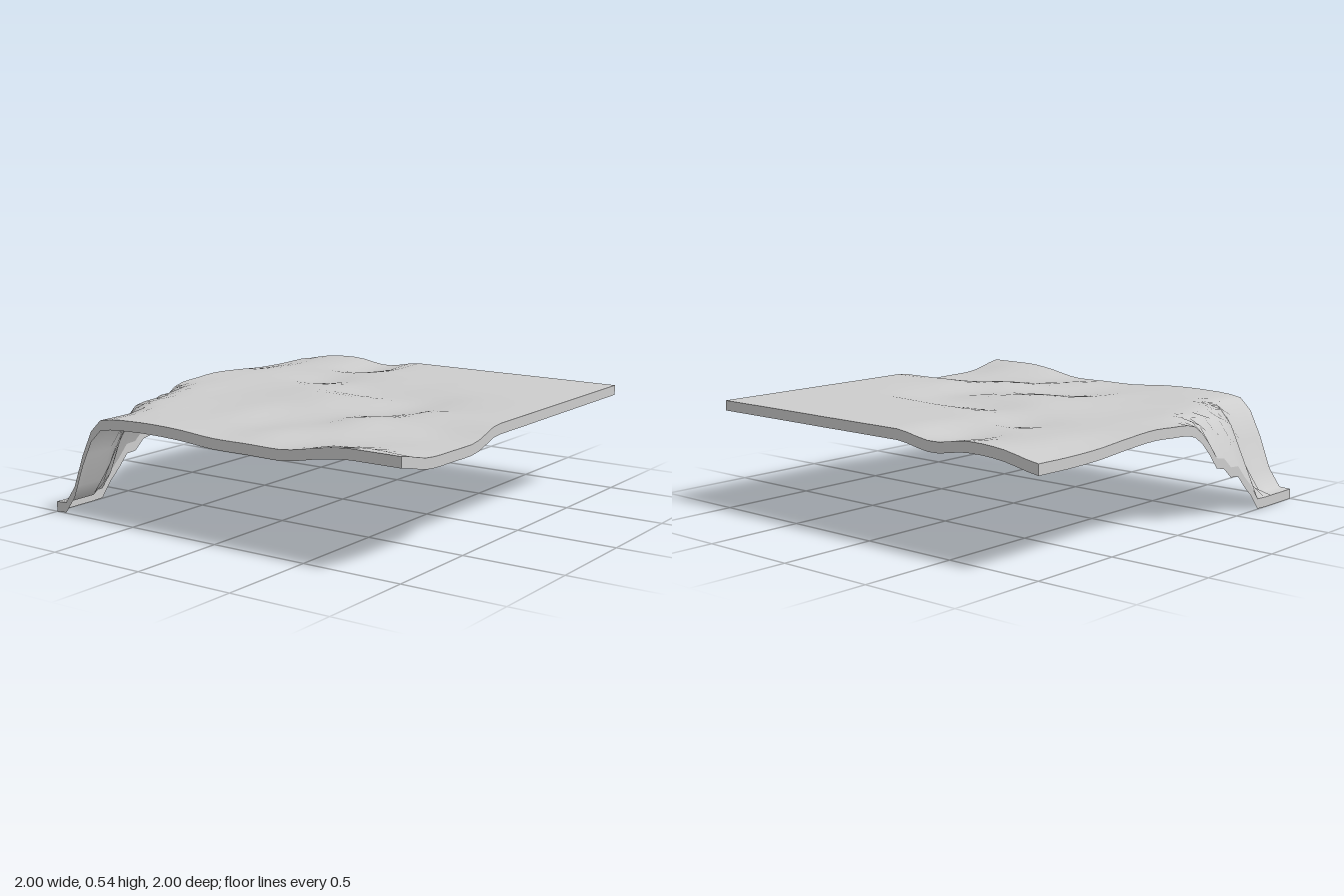
import * as THREE from 'three';

const SEG = 32, THICK = 0.05, CREST = 0.54, SHOULDER = 0.505;

// Depth below the plateau in hundredths, every 0.2 units: rows run back to front, columns along x
const DIPS = [
  [4.8, 1.2, 0.4, 3, 0, -0.5, 0, 0, 0, 0, 0],
  [5, 2, 2, 4.5, 0.5, -0.5, 0, 0, 0, 0, 0],
  [4.5, 2, 2, 2, 0, -0.3, 0, 0, 0, 0, 0],
  [3, 2, 2.5, 4, 1.5, 0.5, 0.5, 0, 0, 0, 0],
  [2, 1.8, 2, 2, 1.5, 3, 3, 2.5, 0.5, 0, 0],
  [3, 2.2, 2.5, 2, 0.5, 0.5, 1.5, 3, 1, 0, 0],
  [3, 2.5, 3, 2.5, 1.5, 1, 2.5, 3, 0, -0.5, -0.5],
  [3, 3, 3, 3, 2.5, 4, 4, 1, 2.5, 4.5, 4.8],
  [3.5, 3, 3, 3.5, 3.5, 5, 4, 3.5, 5, 5, 5],
  [3.5, 3.5, 3.5, 3.5, 4, 4.5, 3.5, 5, 4, 3, 4.3],
  [3.5, 3.5, 3.5, 3, 3.5, 5, 5, 5, 1.5, -0.5, 0],
];

// Cliff height across x, and how far the cliff slides outward toward the back
const CLIFF = [[-0.94, 0.05], [-0.875, 0.14], [-0.81, 0.31], [-0.75, 0.43], [-0.69, 0.49], [-0.6, SHOULDER]];
const SLIDE = [[0, 0.45], [0.13, 0.3], [0.31, 0.19], [0.38, 0.185], [0.44, 0.165], [0.5, 0.165], [0.63, 0.115], [0.69, 0.06], [0.8, 0]];

function lookup(table, t) {
  if (t <= table[0][0]) return table[0][1];
  for (let i = 1; i < table.length; i++) {
    const [t0, v0] = table[i - 1], [t1, v1] = table[i];
    if (t <= t1) return v0 + (v1 - v0) * (t - t0) / (t1 - t0);
  }
  return table[table.length - 1][1];
}

// Smooth curve through evenly spaced values
function spline(values, t) {
  const n = values.length - 1;
  const i = Math.min(Math.floor(t), n - 1), f = t - i;
  const at = (k) => values[Math.max(0, Math.min(n, k))];
  const a = at(i - 1), b = at(i), c = at(i + 1), d = at(i + 2);
  return b + 0.5 * f * (c - a + f * (2 * a - 5 * b + 4 * c - d + f * (3 * (b - c) + d - a)));
}

function height(x, z) {
  const dip = spline(DIPS.map((row) => spline(row, (x + 1) * 5)), (z + 1) * 5);
  const cliff = lookup(CLIFF, x + lookup(SLIDE, z));
  const ground = CREST - Math.min(5.2, Math.max(0, dip)) / 100;
  return cliff <= 0.05 ? 0.05 : Math.max(0.05, ground + cliff - SHOULDER);
}

// Ground sheet: a plane lifted by the height rule
function surfaceGeometry() {
  const geo = new THREE.PlaneGeometry(2, 2, SEG, SEG).rotateX(-Math.PI / 2);
  const p = geo.attributes.position;
  for (let i = 0; i < p.count; i++) p.setY(i, height(p.getX(i), p.getZ(i)));
  geo.computeVertexNormals();
  return geo;
}

// Skirt hanging from the four borders, open underneath
function rimGeometry() {
  const corners = [[-1, 1], [1, 1], [1, -1], [-1, -1]];
  const verts = [];
  corners.forEach(([x0, z0], k) => {
    const [x1, z1] = corners[(k + 1) % 4];
    const point = (i) => {
      const t = i / SEG, x = x0 + (x1 - x0) * t, z = z0 + (z1 - z0) * t;
      return [x, height(x, z), z];
    };
    for (let i = 0; i < SEG; i++) {
      const a = point(i), b = point(i + 1);
      const al = [a[0], a[1] - THICK, a[2]], bl = [b[0], b[1] - THICK, b[2]];
      verts.push(...al, ...bl, ...b, ...al, ...b, ...a);
    }
  });
  const geo = new THREE.BufferGeometry();
  geo.setAttribute('position', new THREE.Float32BufferAttribute(verts, 3));
  geo.computeVertexNormals();
  return geo;
}

export function createModel() {
  const stone = new THREE.MeshStandardMaterial({ color: 0xcccccc, side: THREE.DoubleSide });
  stone.name = 'stone grey';
  const model = new THREE.Group();
  model.name = 'terrainSheet';
  const add = (name, geo) => {
    const mesh = new THREE.Mesh(geo, stone);
    mesh.name = name;
    model.add(mesh);
  };
  add('groundSurface', surfaceGeometry());
  add('rim', rimGeometry());
  return model;
}
